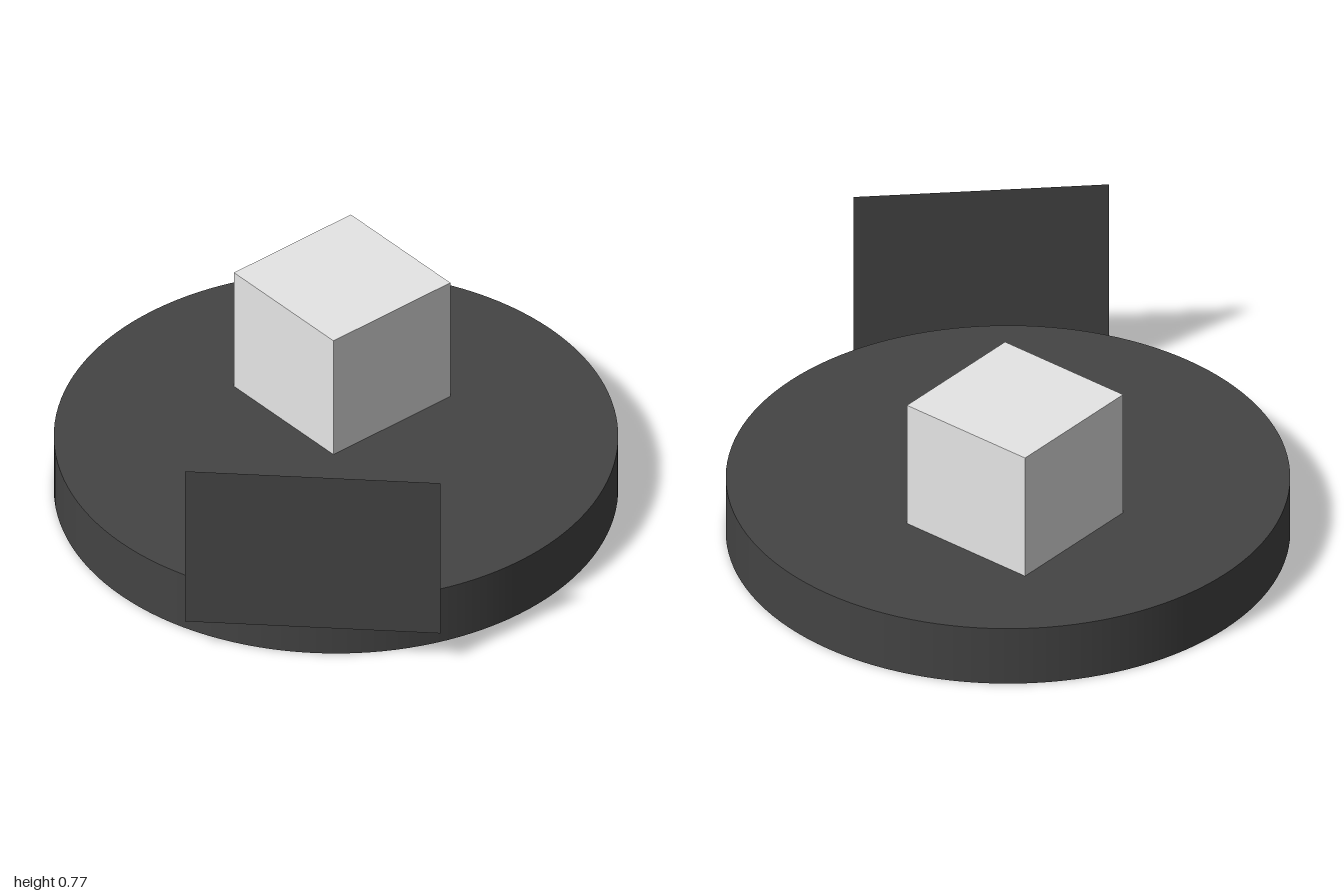
import * as THREE from 'three';

export function createModel() {
  const model = new THREE.Group();
  const charcoal = new THREE.MeshStandardMaterial({ color: 0x444444, side: THREE.DoubleSide });
  charcoal.name = 'charcoal';
  const paleGrey = new THREE.MeshStandardMaterial({ color: 0xe6e6e6 });
  paleGrey.name = 'paleGrey';

  const add = (name, geometry, material, x, y, z) => {
    const mesh = new THREE.Mesh(geometry, material);
    mesh.name = name;
    mesh.position.set(x, y, z);
    model.add(mesh);
    return mesh;
  };

  // Round base, set slightly back from the front panel
  const baseHeight = 0.228;
  add('roundBase', new THREE.CylinderGeometry(0.988, 0.988, baseHeight, 128), charcoal, 0, baseHeight / 2, -0.012);

  // Cube turned on its corner, sunk a little into the base
  const side = 0.38 * Math.SQRT2;
  const cube = add('cube', new THREE.BoxGeometry(side, side, side), paleGrey, 0, 0.718 - side / 2, -0.28);
  cube.rotation.y = Math.PI / 4;

  // Thin upright panel just in front of the base
  add('frontPanel', new THREE.PlaneGeometry(0.898, 0.647), charcoal, 0, 0.451, 1);

  return model;
}
